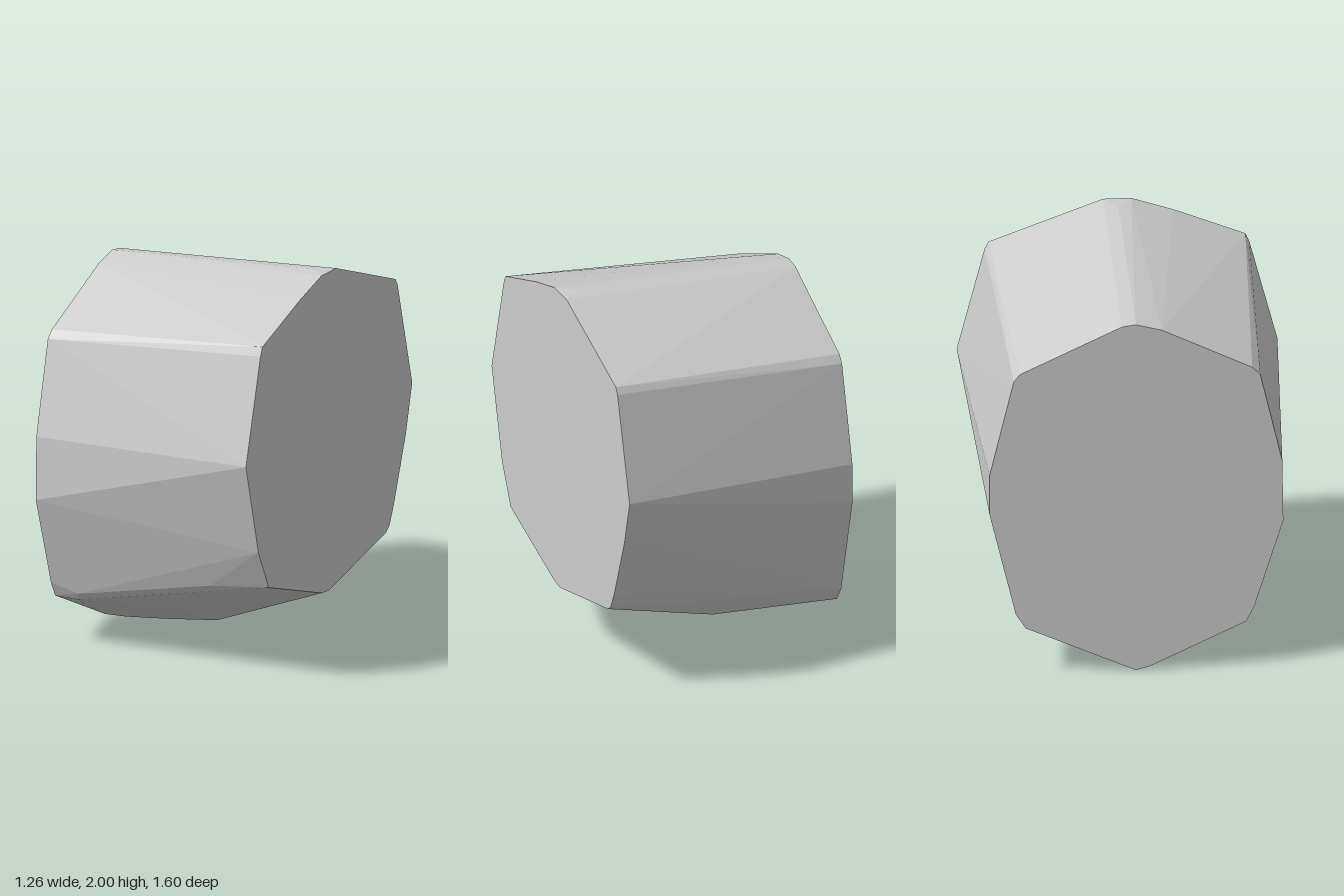
import * as THREE from 'three';
import { ConvexGeometry } from 'three/addons/geometries/ConvexGeometry.js';

// Each end outline is a list of [z, y] corners, going round from the top.
const LARGE_END = [
  [0.07, 2.0], [0.28, 1.93], [0.64, 1.785], [0.66, 1.74], [0.8, 1.2], [0.68, 0.72], [0.58, 0.51],
  [0.07, 0.34], [0, 0.335], [-0.55, 0.485], [-0.58, 0.51], [-0.62, 0.6], [-0.74, 0.95],
  [-0.8, 1.2], [-0.66, 1.75], [-0.64, 1.785], [-0.07, 2.0],
];
const SMALL_END = [
  [0, 1.905], [0.13, 1.87], [0.58, 1.65], [0.62, 1.61], [0.73, 1.13], [0.735, 0.8], [0.59, 0.33],
  [0.55, 0.25], [0.07, 0.02], [0, 0], [-0.55, 0.25], [-0.6, 0.33], [-0.73, 0.88],
  [-0.73, 1.1], [-0.61, 1.61], [-0.58, 1.65], [-0.07, 1.895],
];

// Extra corners where the sides and underside bend between the ends: [x, y, z].
const BENDS = [
  [0.53, 2.0, 0], [-0.02, 0.07, 0], [-0.3, 0.03, 0], [-0.55, 0.0, 0],
  [0.03, 0.29, -0.5], [-0.5, 0.25, 0.55], [-0.48, 0.29, 0.575], [0.3, 0.47, 0.6],
];

export function createModel() {
  const group = new THREE.Group();
  const halfLength = 0.63;
  const end = (outline, x) => outline.map(([z, y]) => new THREE.Vector3(x, y, z));

  // One faceted convex block stretched between the two flat ends
  const points = [
    ...end(LARGE_END, halfLength),
    ...end(SMALL_END, -halfLength),
    ...BENDS.map((p) => new THREE.Vector3(...p)),
  ];
  const block = new THREE.Mesh(
    new ConvexGeometry(points),
    new THREE.MeshStandardMaterial({ color: 0xcccccc, flatShading: true }),
  );
  block.name = 'facetedBlock';
  group.add(block);
  return group;
}
